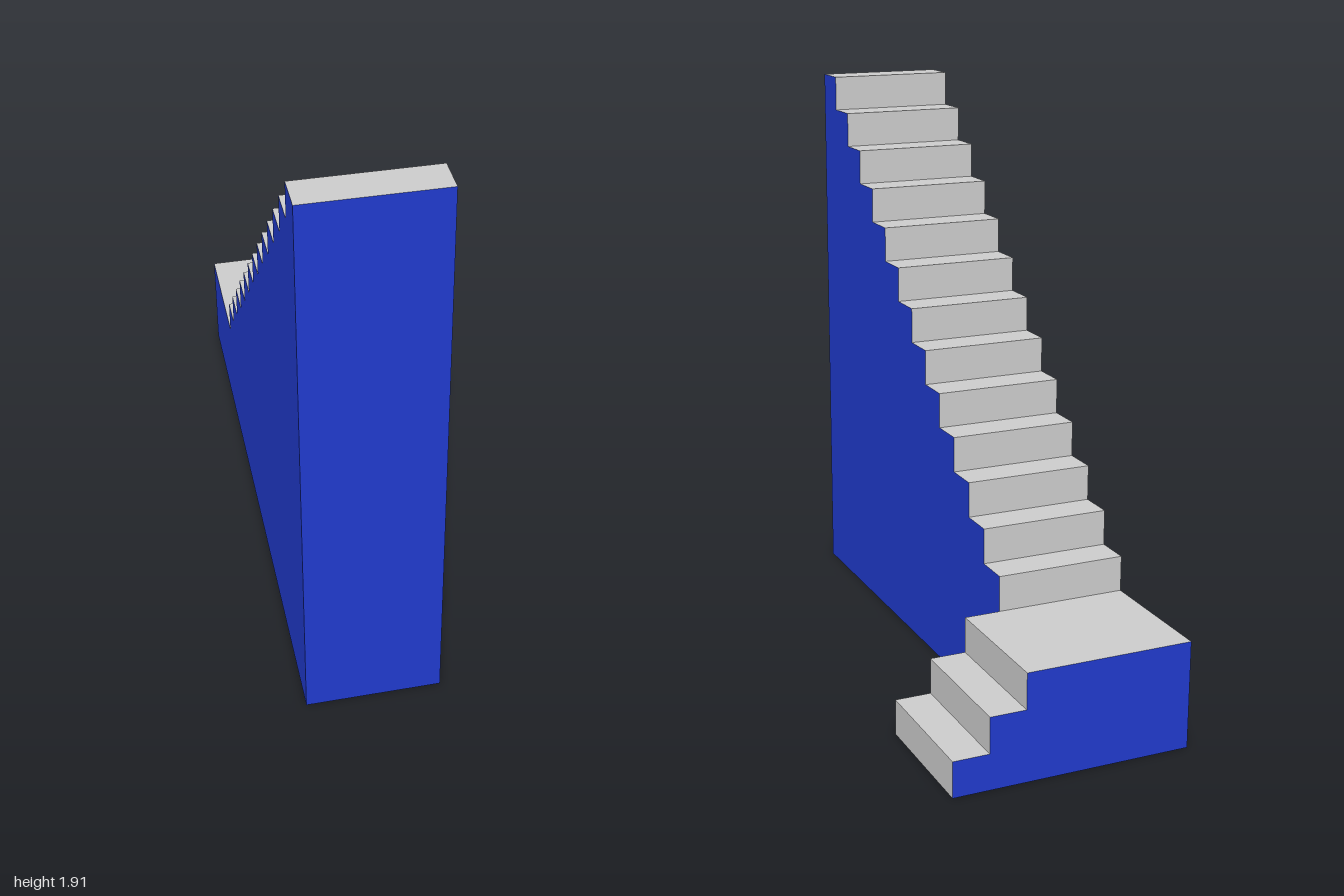
import * as THREE from 'three';

const RISE = 1.91 / 16;          // height of one step
const GOING = 1.555 / 13;        // depth of one upper tread
const WIDTH = 0.44;              // width of both flights
const LANDING_Z = -0.555;        // front edge of the landing

const stepMaterial = new THREE.MeshStandardMaterial({ color: 0xcccccc });
const wallMaterial = new THREE.MeshStandardMaterial({ color: 0x203acc });

// Closed outline of a solid flight, extruded to its width
function extrudeProfile(points) {
  const shape = new THREE.Shape(points.map(([u, v]) => new THREE.Vector2(u, v)));
  return new THREE.ExtrudeGeometry(shape, { depth: WIDTH, bevelEnabled: false });
}

// Split a solid into walking surfaces (treads and risers) and painted walls
function makeFlight(name, geometry, isStep) {
  const source = geometry.index ? geometry.toNonIndexed() : geometry;
  const pos = source.attributes.position;
  const normal = source.attributes.normal;
  const steps = [];
  const walls = [];
  for (let i = 0; i < pos.count; i += 3) {
    const n = new THREE.Vector3().fromBufferAttribute(normal, i);
    const target = isStep(n) ? steps : walls;
    for (let k = i; k < i + 3; k++) target.push(pos.getX(k), pos.getY(k), pos.getZ(k));
  }
  const group = new THREE.Group();
  group.name = name;
  const addPart = (partName, coords, material) => {
    const part = new THREE.BufferGeometry();
    part.setAttribute('position', new THREE.Float32BufferAttribute(coords, 3));
    part.computeVertexNormals();
    const mesh = new THREE.Mesh(part, material);
    mesh.name = partName;
    group.add(mesh);
  };
  addPart('treadsAndRisers', steps, stepMaterial);
  addPart('walls', walls, wallMaterial);
  return group;
}

export function createModel() {
  const model = new THREE.Group();
  model.name = 'staircase';

  // Upper flight: thirteen steps climbing from the landing towards +z
  const upper = [[1, 0], [LANDING_Z, 0]];
  for (let i = 0; i < 13; i++) {
    const y = RISE * (i + 4);
    upper.push([LANDING_Z + GOING * i, y], [LANDING_Z + GOING * (i + 1), y]);
  }
  const upperGeometry = extrudeProfile(upper);
  upperGeometry.rotateY(-Math.PI / 2);
  upperGeometry.translate(0.04, 0, 0);
  model.add(makeFlight('upperFlight', upperGeometry, (n) => n.y > 0.5 || n.z < -0.5));

  // Lower flight: two steps rising from +x to a wide landing
  const lower = [[-0.4, 0], [0.4, 0]];
  for (let i = 0; i < 3; i++) {
    const y = RISE * (i + 1);
    lower.push([0.4 - 0.12 * i, y], [i === 2 ? -0.4 : 0.28 - 0.12 * i, y]);
  }
  const lowerGeometry = extrudeProfile(lower);
  lowerGeometry.translate(0, 0, LANDING_Z - WIDTH);
  lowerGeometry.scale(1, 1, 1);
  // Stretch the back face to the overall depth
  const p = lowerGeometry.attributes.position;
  for (let i = 0; i < p.count; i++) if (p.getZ(i) < -0.9) p.setZ(i, -1);
  model.add(makeFlight('lowerFlight', lowerGeometry, (n) => n.y > 0.5 || n.x > 0.5));

  return model;
}
